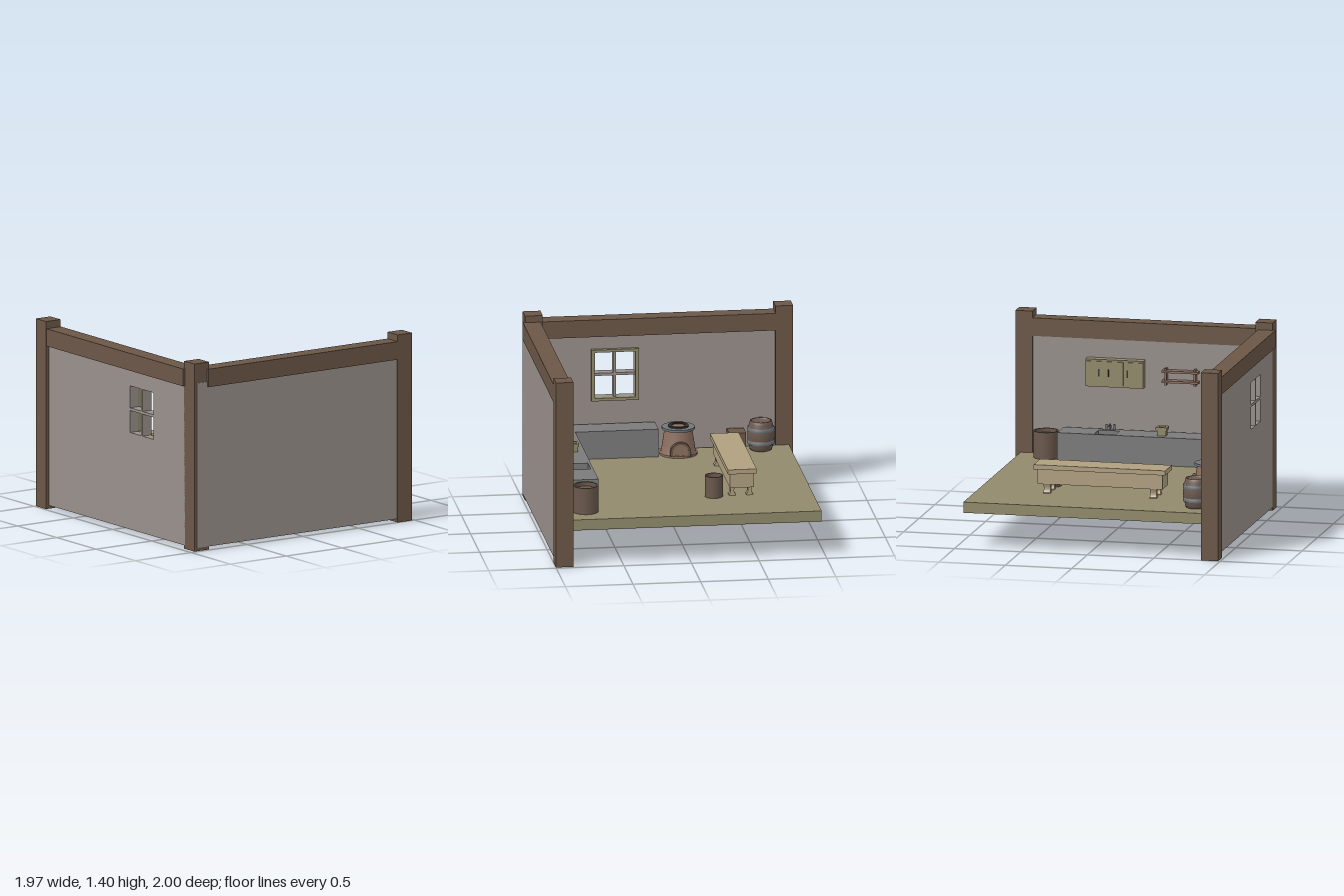
import * as THREE from 'three';

const mat = (color, flatShading = false) =>
  new THREE.MeshStandardMaterial({ color, flatShading, side: THREE.DoubleSide });
const M = {
  wood: mat(0x6b5747), wall: mat(0x98908b), olive: mat(0x918a6c), table: mat(0xb0a080),
  stone: mat(0x7b7b7b), barrel: mat(0x6a584d), dark: mat(0x333333), clay: mat(0x8d6f60),
  iron: mat(0x72767a),
};

export function createModel() {
  const model = new THREE.Group();
  const group = (name, parent = model) => {
    const g = new THREE.Group();
    g.name = name;
    parent.add(g);
    return g;
  };
  const add = (name, geo, material, parent = model, x = 0, y = 0, z = 0) => {
    const m = new THREE.Mesh(geo, material);
    m.name = name;
    m.position.set(x, y, z);
    parent.add(m);
    return m;
  };
  // Box given by its minimum and maximum corners
  const box = (name, [x0, x1], [y0, y1], [z0, z1], material, parent = model) =>
    add(name, new THREE.BoxGeometry(x1 - x0, y1 - y0, z1 - z0), material, parent,
      (x0 + x1) / 2, (y0 + y1) / 2, (z0 + z1) / 2);
  const lathe = (name, pts, material, parent, x = 0, z = 0) =>
    add(name, new THREE.LatheGeometry(pts.map(p => new THREE.Vector2(...p)), 32), material, parent, x, 0, z);
  const rect = (Type, x0, x1, y0, y1) => {
    const s = new Type();
    s.moveTo(x0, y0); s.lineTo(x1, y0); s.lineTo(x1, y1); s.lineTo(x0, y1); s.closePath();
    return s;
  };
  const extrude = (shape, depth) =>
    new THREE.ExtrudeGeometry(shape, { depth, bevelEnabled: false, curveSegments: 16 });
  const F = 0.345; // floor level

  // Floor, posts and beams
  box('floor', [-0.86, 0.94], [0.265, F], [-0.97, 0.87], M.olive);
  box('backPost', [-0.985, -0.855], [0, 1.405], [-1, -0.87], M.wood);
  box('cornerPost', [-0.96, -0.83], [0, 1.405], [0.855, 0.985], M.wood);
  box('rightPost', [0.85, 0.98], [0, 1.405], [0.87, 1], M.wood);
  box('frontBeam', [-0.845, 0.85], [1.22, 1.355], [0.87, 1], M.wood);
  box('sideBeam', [-0.98, -0.85], [1.22, 1.35], [-0.87, 0.865], M.wood);

  // Walls, the side one pierced by four window panes
  box('frontWall', [-0.94, 0.85], [0.025, 1.26], [0.88, 0.99], M.wall);
  const sideShape = rect(THREE.Shape, -0.87, 0.865, 0.025, 1.25);
  for (const z of [0.165, 0.325]) for (const y of [0.75, 0.935])
    sideShape.holes.push(rect(THREE.Path, z, z + 0.14, y, y + 0.165));
  add('sideWall', extrude(sideShape, 0.08).rotateY(-Math.PI / 2), M.wall, model, -0.88);
  const frame = rect(THREE.Shape, 0.14, 0.49, 0.73, 1.12);
  frame.holes.push(rect(THREE.Path, 0.165, 0.465, 0.752, 1.1));
  add('windowFrame', extrude(frame, 0.04).rotateY(-Math.PI / 2), M.olive, model, -0.85);

  // L-shaped counter with a sunken sink
  const counter = group('counter');
  const plan = () => {
    const s = new THREE.Shape();
    [[-0.86, -0.02], [-0.86, -0.845], [0.61, -0.845], [0.61, -0.635], [-0.66, -0.635], [-0.66, -0.02]]
      .forEach(([x, y], i) => (i ? s.lineTo(x, y) : s.moveTo(x, y)));
    s.closePath();
    return s;
  };
  const top = plan();
  top.holes.push(rect(THREE.Path, 0.175, 0.335, -0.795, -0.655));
  add('counterBase', extrude(plan(), 0.12).rotateX(-Math.PI / 2), M.stone, counter, 0, F);
  add('counterTop', extrude(top, 0.09).rotateX(-Math.PI / 2), M.stone, counter, 0, F + 0.12);
  const spout = new THREE.CatmullRomCurve3([[0.555, 0.83], [0.592, 0.83], [0.598, 0.815], [0.588, 0.775]]
    .map(([y, z]) => new THREE.Vector3(0.255, y, z)));
  add('tapSpout', new THREE.TubeGeometry(spout, 16, 0.006, 8), M.iron, counter);
  for (const x of [0.225, 0.285])
    add('tapHandle', new THREE.CylinderGeometry(0.008, 0.008, 0.04, 10), M.iron, counter, x, 0.575, 0.83);

  // Small open box on the counter
  const tub = group('smallBox');
  box('boxBody', [-0.195, -0.13], [0.555, 0.605], [0.688, 0.748], M.olive, tub);
  const rim = rect(THREE.Shape, -0.205, -0.12, -0.756, -0.68);
  rim.holes.push(rect(THREE.Path, -0.187, -0.138, -0.74, -0.696));
  add('boxRim', extrude(rim, 0.022).rotateX(-Math.PI / 2), M.olive, tub, 0, 0.598);

  // Wall cabinet with three doors
  const cabinet = group('wallCabinet');
  box('cabinetBody', [0.005, 0.44], [0.875, 1.08], [0.812, 0.885], M.olive, cabinet);
  for (let i = 0; i < 3; i++) {
    const x = 0.005 + i * 0.145;
    box('cabinetDoor', [x + 0.004, x + 0.141], [0.888, 1.067], [0.804, 0.815], M.olive, cabinet);
  }
  for (const x of [0.12, 0.265, 0.335])
    box('cabinetHandle', [x - 0.005, x + 0.005], [0.955, 1.01], [0.795, 0.806], M.dark, cabinet);

  // Open wall shelf
  const shelf = group('wallShelf');
  for (const y of [0.925, 1.0])
    box('shelfBoard', [-0.405, -0.13], [y, y + 0.016], [0.82, 0.885], M.clay, shelf);
  for (const x of [-0.385, -0.165])
    box('shelfSide', [x, x + 0.015], [0.905, 1.03], [0.835, 0.885], M.clay, shelf);

  // Open wooden tubs
  const bucket = (name, x, z, r, h) => lathe(name, [[0, F], [r, F], [r, F], [r, F + h], [r, F + h],
    [r * 0.88, F + h], [r * 0.88, F + h], [r * 0.88, F + h - 0.03], [r * 0.88, F + h - 0.03], [0, F + h - 0.03]],
  M.barrel, model, x, z);
  bucket('largeTub', 0.72, 0.745, 0.093, 0.2);
  bucket('smallTub', 0.44, -0.24, 0.066, 0.16);

  // Bulging barrel with iron hoops
  const barrel = group('barrel');
  barrel.position.set(-0.765, 0, -0.75);
  const radius = t => 0.08 + 0.02 * Math.sin(Math.PI * t);
  const side = Array.from({ length: 11 }, (_, i) => [radius(i / 10), F + i * 0.022]);
  lathe('barrelStaves', [[0, F], ...side, [0.07, 0.565], [0.07, 0.55], [0, 0.55]], M.barrel, barrel);
  for (const t of [0.28, 0.72]) {
    const y = F + t * 0.22, r = radius(t) + 0.004;
    lathe('barrelHoop', [[r - 0.01, y - 0.014], [r, y - 0.014], [r, y + 0.014], [r - 0.01, y + 0.014]], M.iron, barrel);
  }
  box('crate', [-0.86, -0.72], [F, 0.485], [-0.635, -0.51], M.wood);

  // Round oven with an arched mouth
  const oven = group('oven');
  oven.position.set(-0.73, 0, -0.135);
  lathe('ovenBody', [[0, F], [0.14, F], [0.14, F], [0.14, 0.36], [0.14, 0.36], [0.128, 0.362], [0.12, 0.42],
    [0.11, 0.48], [0.103, 0.535]], M.clay, oven);
  lathe('ovenTop', [[0.06, 0.535], [0.122, 0.535], [0.122, 0.535], [0.122, 0.553], [0.122, 0.553], [0.05, 0.553]], M.iron, oven);
  lathe('ovenRing', [[0.076, 0.55], [0.076, 0.563], [0.076, 0.563], [0.05, 0.563], [0.05, 0.563], [0.05, 0.55]], M.dark, oven);
  lathe('ovenLid', [[0.052, 0.556], [0, 0.556]], M.clay, oven);
  const arch = (r, Type) => {
    const s = new Type();
    s.moveTo(-r, 0); s.lineTo(r, 0); s.lineTo(r, 0.03);
    s.absarc(0, 0.03, r, 0, Math.PI, false);
    s.closePath();
    return s;
  };
  const mouth = arch(0.075, THREE.Shape);
  mouth.holes.push(arch(0.058, THREE.Path));
  add('ovenArch', extrude(mouth, 0.07).rotateY(-Math.PI / 2), M.wood, oven, 0.135, 0.358, 0);
  add('ovenDoor', extrude(arch(0.06, THREE.Shape), 0.05).rotateY(-Math.PI / 2), M.clay, oven, 0.127, 0.358, 0);

  // Long table on four flared feet
  const table = group('table');
  box('tableTop', [-0.48, 0.51], [0.525, 0.56], [-0.548, -0.335], M.table, table);
  box('tableApron', [-0.455, 0.485], [0.415, 0.527], [-0.53, -0.353], M.table, table);
  const foot = new THREE.Shape();
  foot.moveTo(-0.024, 0);
  foot.lineTo(0.024, 0);
  foot.lineTo(0.024, 0.008);
  foot.quadraticCurveTo(0.002, 0.035, 0.024, 0.07);
  foot.lineTo(-0.024, 0.07);
  foot.quadraticCurveTo(-0.002, 0.035, -0.024, 0.008);
  foot.closePath();
  for (const x of [-0.36, 0.44]) for (const z of [-0.506, -0.377])
    add('tableFoot', extrude(foot, 0.05).rotateY(-Math.PI / 2), M.table, table, x, F, z);

  return model;
}
